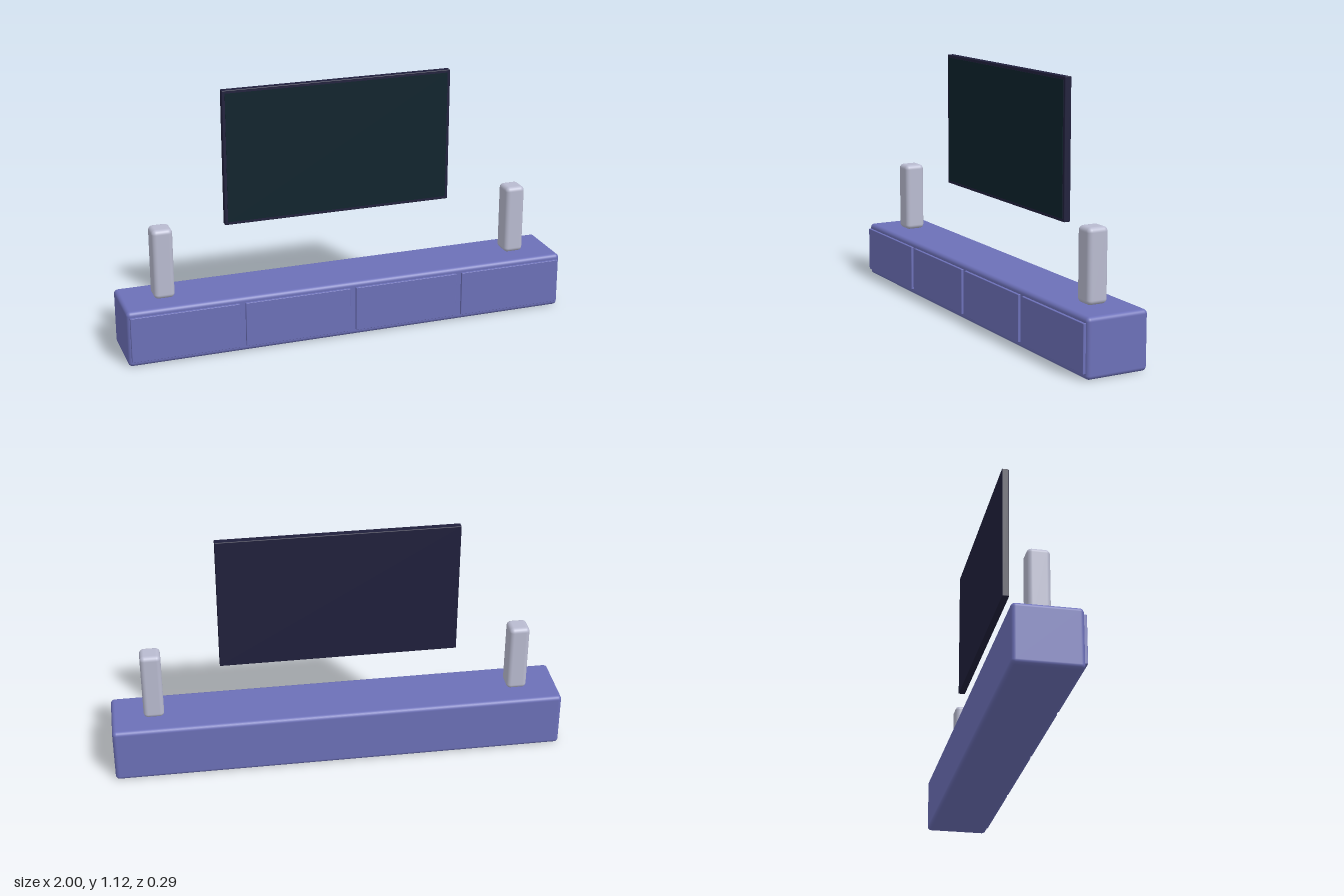
import * as THREE from 'three';
import { RoundedBoxGeometry } from 'three/addons/geometries/RoundedBoxGeometry.js';

const paint = (name, color) => {
  const m = new THREE.MeshStandardMaterial({ color });
  m.name = name;
  return m;
};

export function createModel() {
  const group = new THREE.Group();
  group.name = 'televisionUnit';

  const cabinetBlue = paint('cabinetBlue', 0x6c70b8);
  const speakerGrey = paint('speakerGrey', 0xb9bbd0);
  const frameNavy = paint('frameNavy', 0x20203c);
  const screenTeal = paint('screenTeal', 0x0d222c);

  const add = (name, geometry, material, x, y, z) => {
    const mesh = new THREE.Mesh(geometry, material);
    mesh.name = name;
    mesh.position.set(x, y, z);
    group.add(mesh);
  };

  // Long low cabinet with softened edges
  add('cabinet', new RoundedBoxGeometry(2, 0.25, 0.28, 4, 0.018), cabinetBlue, 0, 0.125, -0.004);

  // Four drawer fronts standing proud of the cabinet
  const drawer = new RoundedBoxGeometry(0.474, 0.202, 0.02, 2, 0.002);
  for (let i = 0; i < 4; i++) {
    add('drawerFront' + (i + 1), drawer, cabinetBlue, -0.75 + i * 0.5, 0.126, 0.137);
  }

  // Speakers, one near each end
  const speaker = new RoundedBoxGeometry(0.09, 0.312, 0.094, 4, 0.02);
  add('leftSpeaker', speaker, speakerGrey, 0.813, 0.407, -0.003);
  add('rightSpeaker', speaker, speakerGrey, -0.813, 0.407, -0.003);

  // Flat television with a thin screen panel inside its border
  add('televisionBody', new RoundedBoxGeometry(1.034, 0.6, 0.03, 2, 0.003), frameNavy, 0, 0.815, -0.066);
  add('screen', new THREE.BoxGeometry(1.008, 0.574, 0.003), screenTeal, 0, 0.815, -0.0505);

  return group;
}
